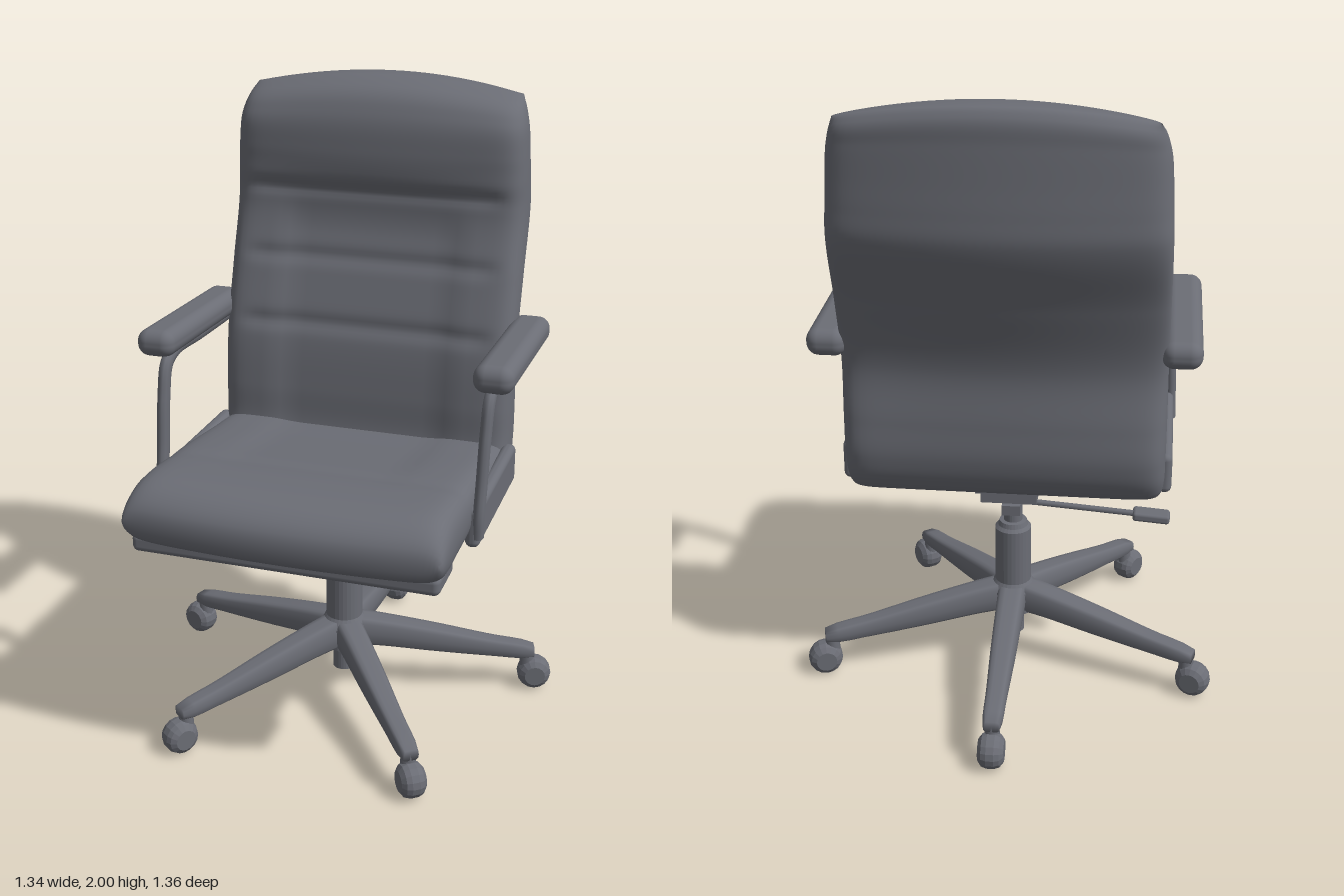
import * as THREE from 'three';
import { RoundedBoxGeometry } from 'three/addons/geometries/RoundedBoxGeometry.js';

const material = new THREE.MeshStandardMaterial({ color: 0x6b6d75, side: THREE.DoubleSide });

function add(parent, name, geometry, x = 0, y = 0, z = 0) {
  const mesh = new THREE.Mesh(geometry, material);
  mesh.name = name;
  mesh.position.set(x, y, z);
  parent.add(mesh);
  return mesh;
}

const bump = (v, centre, width) => Math.exp(-(((v - centre) / width) ** 2));
const ramp = THREE.MathUtils.smoothstep;

// Skins rounded cross-sections; rows are [position, halfWidth, low, high].
// place(x, h, s, u, side) turns a section point into [x, y, z].
function loft(rows, steps, n, power, place) {
  const curve = new THREE.CubicInterpolant(rows.map(r => r[0]), rows.flatMap(r => r.slice(1)), 3);
  const first = rows[0][0], last = rows[rows.length - 1][0];
  const points = [], index = [], ring = 2 * n;
  for (let i = 0; i <= steps; i++) {
    const s = first + (last - first) * i / steps;
    const [w, lo, hi] = curve.evaluate(s);
    for (let j = 0; j < ring; j++) {
      const side = j < n ? 1 : -1;
      const u = side * Math.sin(Math.PI * (0.5 - (j % n) / n));
      const t = Math.pow(Math.max(0, 1 - Math.abs(u) ** power), 0.45);
      points.push(...place(u * w, (lo + hi) / 2 + side * t * (hi - lo) / 2, s, u, side * t));
    }
  }
  for (let i = 0; i < steps; i++) for (let j = 0; j < ring; j++) {
    const a = i * ring + j, b = i * ring + (j + 1) % ring;
    index.push(a, b, b + ring, a, b + ring, a + ring);
  }
  // End caps bridge the two halves of the first and last ring
  for (const [base, flip] of [[0, true], [steps * ring, false]]) {
    for (let j = 0; j < n; j++) {
      const a = base + j, b = base + j + 1;
      const c = base + (ring - j - 1) % ring, d = base + (ring - j) % ring;
      if (flip) index.push(a, c, b, a, d, c);
      else index.push(a, b, c, a, c, d);
    }
  }
  const g = new THREE.BufferGeometry();
  g.setAttribute('position', new THREE.Float32BufferAttribute(points, 3));
  g.setIndex(index);
  g.computeVertexNormals();
  return g;
}

function buildCushions(chair) {
  // Seat, lofted from rear to rounded nose
  const seatRows = [
    [-0.27, 0.47, 0.76, 0.86], [-0.2, 0.483, 0.74, 0.88], [0, 0.487, 0.745, 0.905],
    [0.2, 0.487, 0.755, 0.93], [0.4, 0.49, 0.757, 0.947], [0.5, 0.49, 0.755, 0.952],
    [0.58, 0.49, 0.755, 0.945], [0.64, 0.488, 0.772, 0.92], [0.67, 0.484, 0.795, 0.89],
    [0.682, 0.478, 0.82, 0.865]];
  add(chair, 'seat', loft(seatRows, 80, 36, 18, (x, y, z, u, side) => {
    if (side > 0) {
      const panel = (1 - ramp(Math.abs(x), 0.22, 0.32)) * (1 - ramp(z, 0.1, 0.45));
      y -= side * (0.01 * panel + 0.004 * bump(z, 0.33, 0.04));
    }
    return [x, y, z - 0.03 * u * u * ramp(z, 0.4, 0.68)];
  }));
  add(chair, 'seatLip', new RoundedBoxGeometry(0.94, 0.06, 0.17, 3, 0.02), 0, 0.762, 0.535);

  // Backrest with headrest roll, side bolsters and sewn seams
  const backRows = [
    [0.732, 0.465, -0.1, -0.21], [0.75, 0.48, -0.1, -0.26], [0.79, 0.488, -0.12, -0.298],
    [0.88, 0.49, -0.14, -0.33], [1, 0.49, -0.145, -0.335], [1.18, 0.488, -0.165, -0.335],
    [1.4, 0.487, -0.225, -0.41], [1.62, 0.485, -0.28, -0.5], [1.7, 0.482, -0.262, -0.505],
    [1.78, 0.478, -0.257, -0.505], [1.9, 0.468, -0.275, -0.505], [1.97, 0.453, -0.325, -0.503],
    [2, 0.44, -0.39, -0.485]];
  add(chair, 'backrest', loft(backRows, 100, 36, 18, (x, z, y, u, side) => {
    if (side > 0) z += 0.055 * side * u * u * ramp(y, 0.7, 1.5);
    else {
      const seams = bump(y, 1.645, 0.02) + bump(y, 1.43, 0.025) + bump(y, 1.22, 0.025);
      const panel = (1 - ramp(Math.abs(x), 0.24, 0.32)) * (1 - ramp(y, 1.5, 1.65));
      const edge = 1 - ramp(Math.abs(x), 0.36, 0.45);
      z += side * (0.01 * seams * edge + 0.014 * panel + 0.025 * u * u * ramp(y, 1.6, 1.75));
    }
    return [x, y - 0.045 * u * u * ramp(y, 1.8, 2), z];
  }));
}

function buildArm(chair, s) {
  const arm = new THREE.Group();
  arm.name = s > 0 ? 'leftArm' : 'rightArm';
  chair.add(arm);
  const pad = add(arm, 'armPad', new RoundedBoxGeometry(0.122, 0.085, 0.61, 5, 0.038), s * 0.525, 1.252, -0.012);
  pad.rotation.x = -0.035;
  // Flat strap running under the pad and down to the seat side
  const path = new THREE.CatmullRomCurve3([
    [-0.25, 1.215], [0, 1.222], [0.2, 1.228], [0.265, 1.2], [0.29, 1.1], [0.3, 0.95],
    [0.308, 0.85], [0.3, 0.78],
  ].map(([z, y]) => new THREE.Vector3((y - 0.78) * 0.04, y, z)));
  const strap = new THREE.TubeGeometry(path, 60, 0.026, 10);
  strap.scale(0.7, 1, 1);
  const post = add(arm, 'armStrap', strap, s * 0.505);
  post.rotation.y = s > 0 ? 0 : 0.001;
  // Plate joining the strap to the seat side
  add(arm, 'sidePlate', new RoundedBoxGeometry(0.045, 0.13, 0.53, 3, 0.02), s * 0.49, 0.812, 0.06);
}

function buildMechanism(chair) {
  add(chair, 'crossBar', new THREE.BoxGeometry(0.46, 0.03, 0.13), 0, 0.73, 0.02);
  add(chair, 'mountingRail', new THREE.BoxGeometry(0.2, 0.04, 0.38), 0, 0.725, 0.01);
  add(chair, 'tiltHousing', new THREE.CylinderGeometry(0.11, 0.07, 0.06, 20), 0, 0.685, 0.04);
  // Tilt plate tapering towards the front
  const outline = new THREE.Shape([[-0.09, 0.12], [0.09, 0.12], [0.09, -0.1], [0.045, -0.27],
    [-0.045, -0.27], [-0.09, -0.1]].map(p => new THREE.Vector2(...p)));
  const plate = add(chair, 'tiltPlate', new THREE.ExtrudeGeometry(outline, { depth: 0.035, bevelEnabled: false }), 0, 0.642, 0);
  plate.rotation.x = -Math.PI / 2;
  const knob = add(chair, 'tensionKnob', new THREE.CylinderGeometry(0.045, 0.052, 0.11, 16), 0, 0.602, 0.245);
  knob.rotation.x = -0.35;
  add(chair, 'leverPivot', new THREE.BoxGeometry(0.06, 0.035, 0.07), 0, 0.58, -0.02);
  // Height lever reaching out to the right
  const lever = new THREE.LineCurve3(new THREE.Vector3(0, 0.61, -0.03), new THREE.Vector3(-0.42, 0.58, -0.03));
  add(chair, 'heightLever', new THREE.TubeGeometry(lever, 1, 0.01, 8));
  const paddle = add(chair, 'leverPaddle', new RoundedBoxGeometry(0.12, 0.03, 0.06, 2, 0.01), -0.455, 0.577, -0.03);
  paddle.rotation.z = 0.07;
}

// Turned part with crisp edges
function turned(profile, segments) {
  const g = new THREE.LatheGeometry(profile.map(p => new THREE.Vector2(...p)), segments).toNonIndexed();
  g.computeVertexNormals();
  return g;
}

function buildBase(chair) {
  const base = new THREE.Group();
  base.name = 'base';
  base.position.z = 0.022;
  chair.add(base);

  // Gas column, from the stub under the hub up to the piston
  add(base, 'column', turned([[0, 0.09], [0.038, 0.09], [0.038, 0.17], [0.075, 0.18], [0.08, 0.26], [0.06, 0.29],
    [0.06, 0.485], [0.05, 0.495], [0.045, 0.51], [0.031, 0.512], [0.031, 0.68], [0, 0.68]], 28));

  const legRows = [[0, 0.05, 0.185, 0.29], [0.1, 0.047, 0.18, 0.275], [0.3, 0.042, 0.155, 0.235],
    [0.5, 0.034, 0.132, 0.19], [0.62, 0.03, 0.122, 0.167], [0.64, 0.026, 0.125, 0.16]];
  const legShape = loft(legRows, 16, 8, 8, (x, y, z) => [x, y, z]);
  const wheelShape = turned([[0, -0.04], [0.034, -0.04], [0.05, -0.028], [0.056, -0.012],
    [0.056, 0.012], [0.05, 0.028], [0.034, 0.04], [0, 0.04]], 16);
  for (let i = 0; i < 5; i++) {
    const leg = new THREE.Group();
    leg.name = 'leg' + (i + 1);
    leg.rotation.y = Math.PI + i * Math.PI * 2 / 5;
    base.add(leg);
    add(leg, 'spoke', legShape);
    add(leg, 'casterStem', new THREE.CylinderGeometry(0.022, 0.026, 0.07, 10), 0, 0.11, 0.618);
    const wheel = add(leg, 'casterWheel', wheelShape, 0, 0.061, 0.643);
    wheel.rotation.z = Math.PI / 2;
  }
}

export function createModel() {
  const chair = new THREE.Group();
  chair.name = 'officeChair';
  buildCushions(chair);
  buildArm(chair, 1);
  buildArm(chair, -1);
  buildMechanism(chair);
  buildBase(chair);
  return chair;
}
